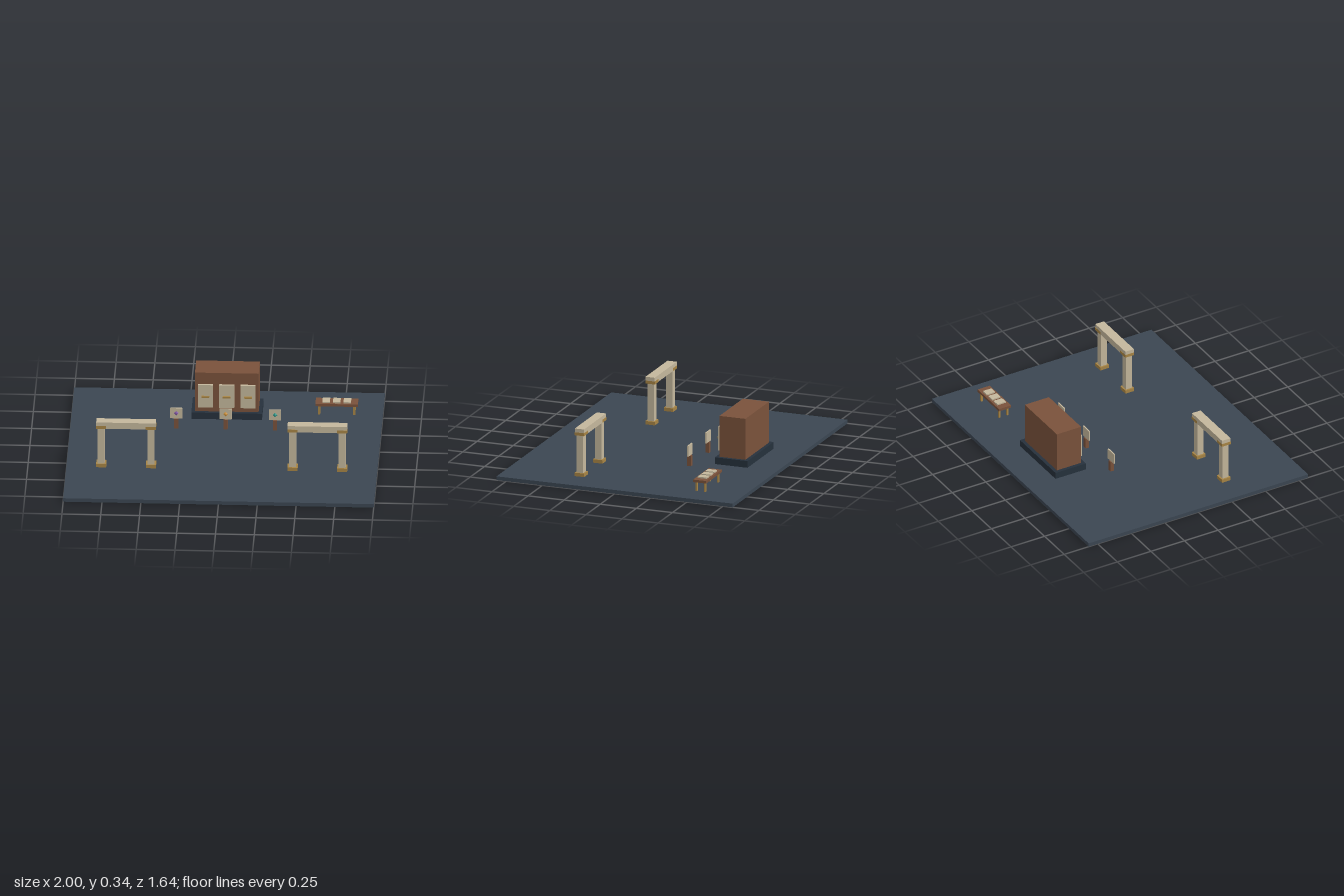
import * as THREE from 'three';

const paint = (color) => new THREE.MeshStandardMaterial({ color });
const slate = paint(0x3b4652), darkSlate = paint(0x26313c), wood = paint(0x7a523b);
const stone = paint(0xc4b79c), gold = paint(0xa88545);

// Box given by its size, centre x and z, and the height of its underside
function box(parent, name, material, [w, h, d], x, bottom, z) {
  const mesh = new THREE.Mesh(new THREE.BoxGeometry(w, h, d), material);
  mesh.name = name;
  mesh.position.set(x, bottom + h / 2, z);
  parent.add(mesh);
  return mesh;
}

function group(parent, name, x, y, z) {
  const g = new THREE.Group();
  g.name = name;
  g.position.set(x, y, z);
  parent.add(g);
  return g;
}

const FLOOR = 0.025;

// Two columns with gold bases and capitals under a stone lintel
function addArch(parent, name, x) {
  const arch = group(parent, name, x, FLOOR, 0.32);
  for (const s of [-1, 1]) {
    const px = s * 0.16;
    box(arch, 'columnBase', gold, [0.065, 0.023, 0.065], px, 0, 0);
    box(arch, 'columnShaft', stone, [0.045, 0.26, 0.045], px, 0.02, 0);
    box(arch, 'columnCapital', gold, [0.066, 0.02, 0.066], px, 0.275, 0);
  }
  box(arch, 'lintel', stone, [0.384, 0.044, 0.064], 0, 0.276, 0);
}

// Cabinet on a plinth with three panels and their handles
function addCabinet(parent) {
  const cabinet = group(parent, 'cabinet', 0, FLOOR, -0.5);
  box(cabinet, 'plinth', darkSlate, [0.455, 0.045, 0.226], 0, 0, 0);
  box(cabinet, 'cabinetBody', wood, [0.41, 0.275, 0.18], 0, 0.045, 0);
  for (const x of [-0.137, 0, 0.137]) {
    box(cabinet, 'panel', stone, [0.097, 0.16, 0.018], x, 0.08, 0.099);
    box(cabinet, 'handle', gold, [0.05, 0.01, 0.012], x, 0.154, 0.114);
  }
}

// Small sign on a post with a coloured gem
function addSign(parent, x, color) {
  const sign = group(parent, 'sign', x, FLOOR, -0.25);
  box(sign, 'signPost', wood, [0.026, 0.07, 0.026], 0, 0, 0);
  box(sign, 'signBoard', stone, [0.078, 0.072, 0.009], 0, 0.07, 0);
  const gem = new THREE.Mesh(new THREE.OctahedronGeometry(0.016), paint(color));
  gem.name = 'gem';
  gem.scale.z = 0.4;
  gem.position.set(0, 0.107, 0.0045);
  sign.add(gem);
}

// Low table with four legs and three tablets
function addTable(parent) {
  const table = group(parent, 'table', 0.704, FLOOR, -0.525);
  box(table, 'tableTop', wood, [0.273, 0.017, 0.091], 0, 0.062, 0);
  for (const x of [-0.113, 0.113])
    for (const z of [-0.03, 0.03]) box(table, 'tableLeg', gold, [0.014, 0.062, 0.012], x, 0, z);
  for (const x of [-0.068, 0, 0.068]) box(table, 'tablet', stone, [0.048, 0.009, 0.063], x, 0.079, 0);
}

export function createModel() {
  const model = new THREE.Group();
  model.name = 'exhibitionHall';
  box(model, 'floor', slate, [2, FLOOR, 1.636], 0, 0, 0);
  addArch(model, 'rightArch', -0.616);
  addArch(model, 'leftArch', 0.616);
  addCabinet(model);
  [0x8a5cb0, 0xd99a3c, 0x2a9d8f].forEach((color, i) => addSign(model, (i - 1) * 0.318, color));
  addTable(model);
  return model;
}
